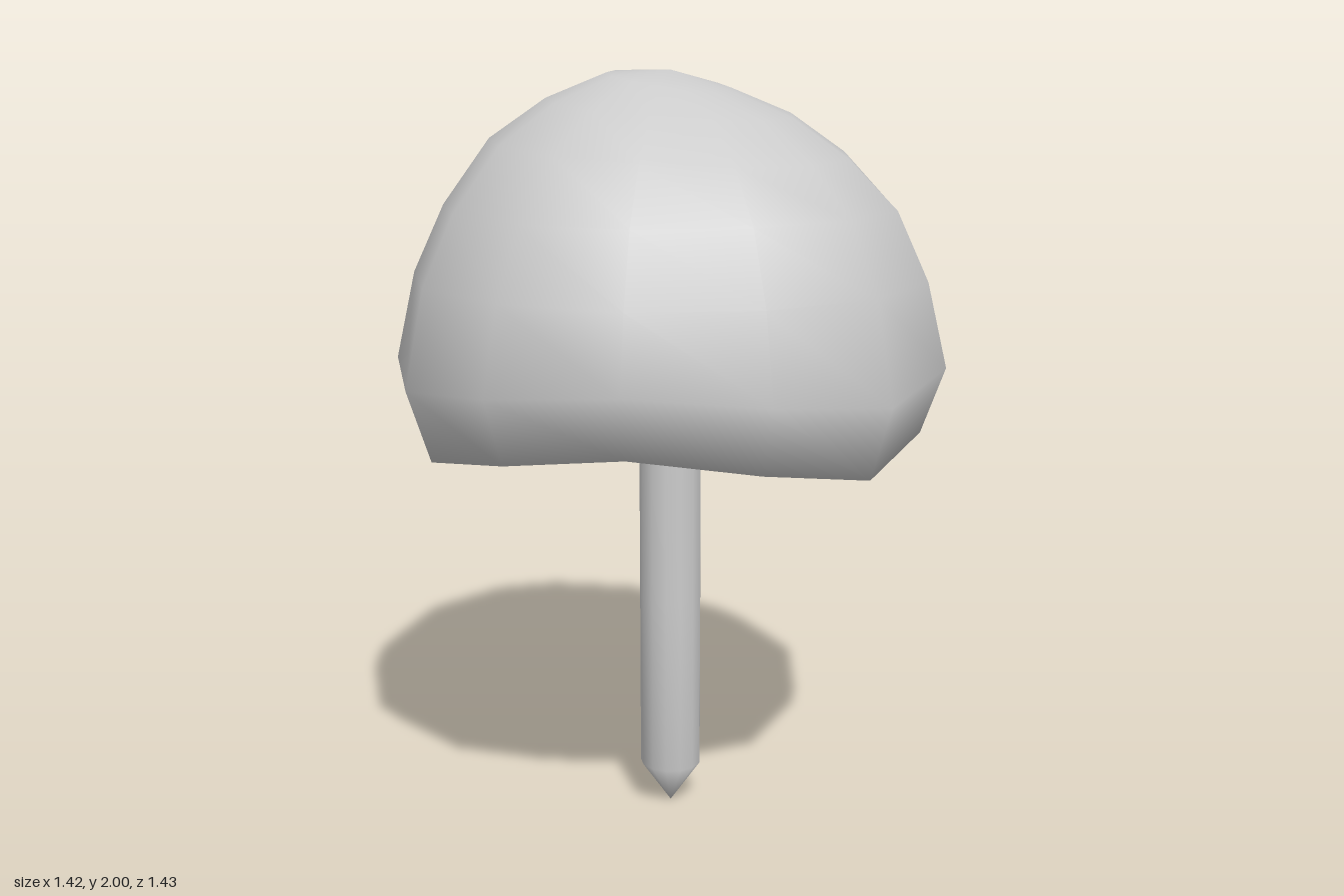
import * as THREE from 'three';
import { mergeVertices } from 'three/addons/utils/BufferGeometryUtils.js';

const SIDES = 13;
const AXIS_X = -0.013;
const material = new THREE.MeshStandardMaterial({ color: 0xcccccc });

// Turned profile (bottom to top, [radius, height]) with welded seam
function turned(profile) {
  const points = profile.map(([r, y]) => new THREE.Vector2(r, y));
  const geometry = new THREE.LatheGeometry(points, SIDES, Math.PI / 2);
  geometry.deleteAttribute('uv');
  geometry.deleteAttribute('normal');
  return mergeVertices(geometry, 1e-4);
}

function addMesh(group, name, geometry) {
  geometry.computeVertexNormals();
  const mesh = new THREE.Mesh(geometry, material);
  mesh.name = name;
  mesh.position.x = AXIS_X;
  group.add(mesh);
}

export function createModel() {
  const group = new THREE.Group();
  group.name = 'mushroom';

  // Cap: collar, hollow underside, rim and dome
  const cap = turned([
    [0.08, 1.05], [0.15, 1.14], [0.45, 1.18], [0.662, 1.143],
    [0.722, 1.3], [0.67, 1.485], [0.588, 1.66], [0.465, 1.807],
    [0.318, 1.908], [0.16, 1.972], [0, 2],
  ]);

  // Wavy rim: how far each side droops, counted from +x towards +z
  const droop = [0, 0.043, 0.098, 0.043, 0, 0.043, 0.095, 0.06, 0, 0, 0, 0, 0];
  const pos = cap.attributes.position;
  for (let i = 0; i < pos.count; i++) {
    const x = pos.getX(i), y = pos.getY(i), z = pos.getZ(i);
    const r = Math.hypot(x, z);
    const angle = Math.atan2(z, x);
    const k = (Math.round(angle / (2 * Math.PI / SIDES)) + SIDES) % SIDES;
    let weight = 0;
    if (r > 0.6 && y < 1.2) weight = 1;
    else if (r > 0.7) weight = 0.7;
    else if (r > 0.4 && y < 1.2) weight = 0.3;
    // The dome leans slightly up towards the back right
    const lean = y > 1.75 && r > 0.01 ? -0.018 * Math.SQRT2 * Math.cos(angle - Math.PI / 4) : 0;
    pos.setY(i, Math.min(2, y - weight * droop[k] + lean));
  }
  addMesh(group, 'cap', cap);

  // Stem with pointed foot
  addMesh(group, 'stem', turned([[0, 0], [0.083, 0.12], [0.083, 0.6], [0.083, 1.0], [0.08, 1.2]]));
  return group;
}
